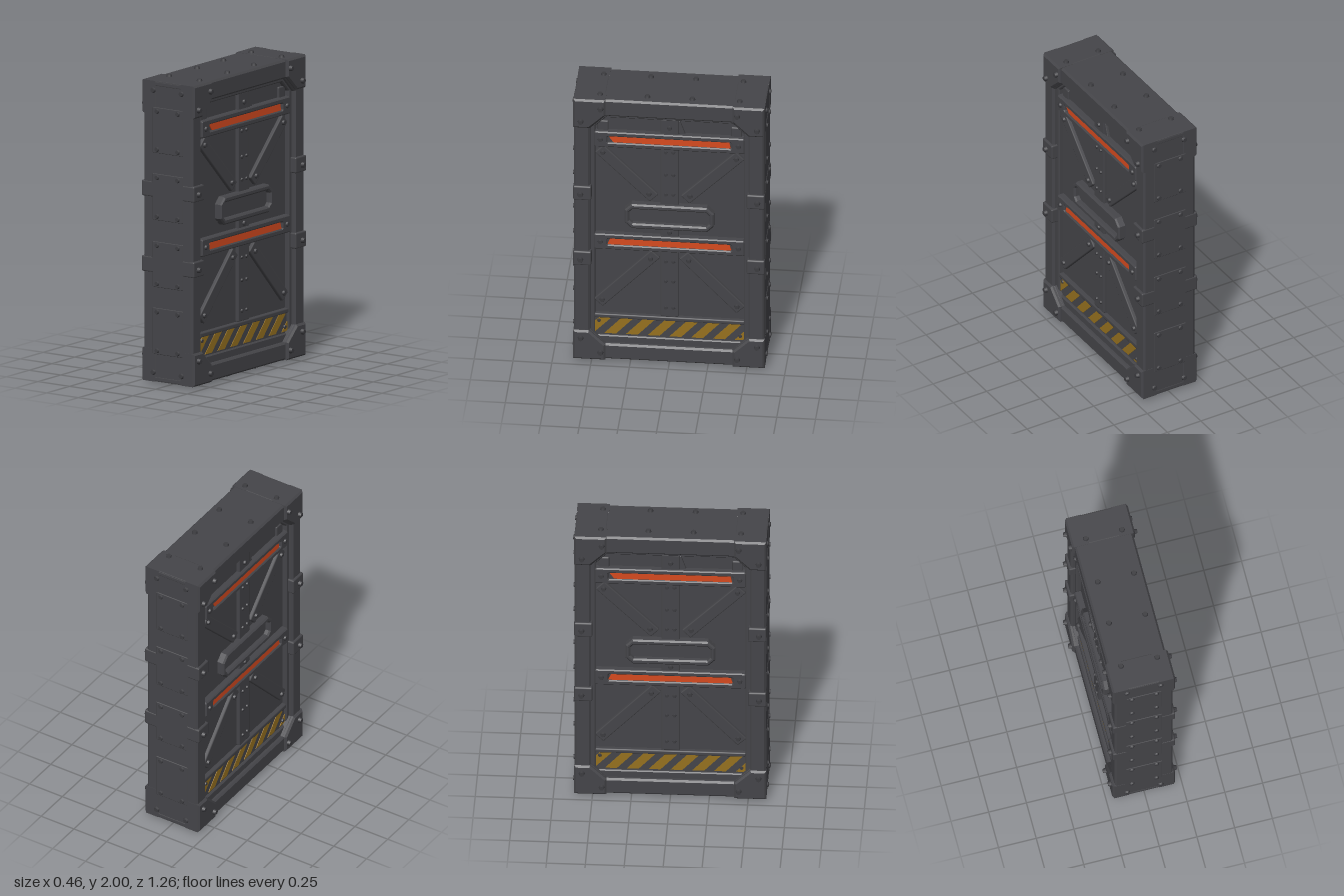
import * as THREE from 'three';
import { RoundedBoxGeometry } from 'three/addons/geometries/RoundedBoxGeometry.js';

const material = (name, color) => Object.assign(new THREE.MeshStandardMaterial({ color }), { name });

export function createModel() {
  const steel = material('dark steel', 0x454549);
  const boltSteel = material('bolt steel', 0x3c3c40);
  const orange = material('orange light', 0xd64a1f);
  const yellow = material('hazard yellow', 0x96711f);
  const root = new THREE.Group();
  root.name = 'armouredDoor';

  const add = (parent, name, geometry, mat = steel) => {
    const mesh = new THREE.Mesh(geometry, mat);
    mesh.name = name;
    parent.add(mesh);
    return mesh;
  };
  const box = (parent, name, x0, x1, y0, y1, z0, z1, r = 0.008) => {
    const mesh = add(parent, name, new RoundedBoxGeometry(x1 - x0, y1 - y0, z1 - z0, 1, r));
    mesh.position.set((x0 + x1) / 2, (y0 + y1) / 2, (z0 + z1) / 2);
    return mesh;
  };
  // Rectangle with cut corners: c for the upper pair, cb for the lower pair
  const octagon = (x0, x1, y0, y1, c, cb = c) => {
    const pts = [[x0 + cb, y0], [x1 - cb, y0]];
    if (cb) pts.push([x1, y0 + cb]);
    pts.push([x1, y1 - c], [x1 - c, y1], [x0 + c, y1], [x0, y1 - c]);
    if (cb) pts.push([x0, y0 + cb]);
    return pts;
  };
  const vectors = (pts) => pts.map(([x, y]) => new THREE.Vector2(x, y));
  // Plate with an optional hole, lying between depths z0 and z1
  const plate = (parent, name, outer, hole, z0, z1, mat = steel, bevel = 0.007) => {
    const shape = new THREE.Shape(vectors(outer));
    if (hole) shape.holes.push(new THREE.Path(vectors(hole)));
    const g = new THREE.ExtrudeGeometry(shape, {
      depth: z1 - z0 - 2 * bevel, bevelEnabled: bevel > 0, bevelThickness: bevel,
      bevelSize: bevel, bevelOffset: -bevel, bevelSegments: 1,
    });
    return add(parent, name, g.translate(0, 0, z0 + bevel), mat);
  };
  const boltShape = new THREE.CylinderGeometry(0.75, 1, 1, 8).rotateX(Math.PI / 2);
  // Bolt head pointing along the parent's z axis
  const bolt = (parent, x, y, z, r = 0.02, h = 0.022) => {
    const mesh = add(parent, 'bolt', boltShape, boltSteel);
    mesh.scale.set(r, r, h);
    mesh.position.set(x, y, z + h / 2 - 0.002);
  };

  // Outer frame, open right through, and the core slab that fills it
  const frame = plate(root, 'outerFrame',
    [[-0.615, 0.016], [0.615, 0.016], [0.615, 1.984], [-0.615, 1.984]],
    octagon(-0.51, 0.51, 0.13, 1.86, 0.1), -0.192, 0.192, steel, 0.012);
  frame.rotation.y = Math.PI / 2;
  box(root, 'coreSlab', -0.135, 0.135, 0.1, 1.9, -0.55, 0.55);

  // The two identical door faces
  for (const side of [1, -1]) {
    const face = new THREE.Group();
    face.name = side > 0 ? 'leftDoorFace' : 'rightDoorFace';
    face.rotation.y = side * Math.PI / 2;
    root.add(face);

    // Inner ledge
    plate(face, 'innerLedge', octagon(-0.54, 0.54, 0.1, 1.89, 0.09),
      octagon(-0.48, 0.48, 0.18, 1.835, 0.07, 0), 0.12, 0.165);

    for (const s of [1, -1]) {
      // Corner plates
      for (const top of [true, false]) {
        const Y = (y) => (top ? y : 2 - y);
        const pts = [[0.617, 1.986], [0.41, 1.986], [0.41, 1.87], [0.515, 1.77], [0.617, 1.77]]
          .map(([x, y]) => [s * x, Y(y)]);
        plate(face, 'cornerPlate', pts, null, 0.09, 0.208, steel, 0.012);
        bolt(face, s * 0.44, Y(1.925), 0.208);
        bolt(face, s * 0.568, Y(1.823), 0.208);
      }
      // Side clamps
      for (const y of [1.275, 0.78]) {
        box(face, 'sideClamp', Math.min(s * 0.5, s * 0.618), Math.max(s * 0.5, s * 0.618),
          y - 0.052, y + 0.052, 0.1, 0.208, 0.01);
        bolt(face, s * 0.57, y - 0.005, 0.208);
      }
      // Diagonal braces
      for (const [x0, y0, x1, y1] of [[0.1, 1.235, 0.455, 1.59], [0.09, 0.81, 0.46, 0.42]]) {
        const length = Math.hypot(x1 - x0, y1 - y0);
        const brace = box(face, 'diagonalBrace', -length / 2, length / 2, -0.04, 0.04, 0.12, 0.158);
        brace.position.set(s * (x0 + x1) / 2, (y0 + y1) / 2, 0.139);
        brace.rotation.z = s * Math.atan2(y1 - y0, x1 - x0);
        for (const t of [0.09, 0.93]) {
          bolt(face, s * (x0 + (x1 - x0) * t), y0 + (y1 - y0) * t, 0.158, 0.018, 0.016);
        }
      }
      // Ribs above the top bar
      box(face, 'topRib', s * 0.43 - 0.035, s * 0.43 + 0.035, 1.72, 1.8, 0.12, 0.15);
    }

    // Central pillar in sections
    for (const [y0, y1] of [[1.71, 1.84], [1.18, 1.64], [0.94, 1.02], [0.34, 0.86]]) {
      box(face, 'centralPillar', -0.06, 0.06, y0, y1, 0.12, 0.158);
    }
    plate(face, 'topGusset', [[0.05, 1.73], [0.1, 1.73], [0.065, 1.83], [0.05, 1.83]], null, 0.12, 0.152, steel, 0.004);
    for (const y of [1.59, 1.42, 1.27, 0.76, 0.61, 0.41]) {
      for (const x of [-0.025, 0.025]) bolt(face, x, y, 0.158, 0.013, 0.012);
    }
    for (const y of [1.775, 0.98]) bolt(face, 0, y, 0.158, 0.018, 0.014);

    // Crossbars with inset light strips
    for (const [y, slant] of [[1.675, 0.04], [0.898, 0.02]]) {
      const upper = slant > 0.03;
      plate(face, 'crossbar', octagon(-0.485, 0.485, y - 0.057, y + 0.057, 0.008),
        octagon(-0.4, 0.4, y - 0.023, y + 0.023, 0.006), 0.12, 0.178);
      const strip = upper
        ? [[-0.36, y - 0.024], [0.395, y - 0.024], [0.385, y + 0.024], [-0.395, y + 0.024]]
        : [[-0.4, y - 0.024], [0.4, y - 0.024], [0.385, y + 0.024], [-0.38, y + 0.024]];
      plate(face, 'lightStrip', strip, null, 0.158, 0.167, orange, 0);
      box(face, 'lightBacking', -0.42, 0.42, y - 0.035, y + 0.035, 0.12, 0.159, 0.004);
      for (const x of [-0.445, 0.445]) bolt(face, x, y, 0.178, 0.018, 0.014);
    }

    // Central grip surround
    plate(face, 'gripSurround', octagon(-0.288, 0.288, 1.012, 1.195, 0.045),
      octagon(-0.258, 0.258, 1.05, 1.158, 0.022), 0.12, 0.185, steel, 0.01);
    box(face, 'gripPanel', -0.27, 0.27, 1.03, 1.175, 0.12, 0.15);

    // Hazard panel with slanted stripes
    box(face, 'hazardRail', -0.485, 0.485, 0.31, 0.34, 0.12, 0.165);
    box(face, 'hazardPanel', -0.485, 0.485, 0.17, 0.315, 0.12, 0.15);
    const stripes = [
      [[-0.48, 0.2], [-0.375, 0.31], [-0.45, 0.31], [-0.48, 0.28]],
      [[0.42, 0.19], [0.48, 0.19], [0.48, 0.255]],
    ];
    for (let k = 0; k < 6; k++) {
      const x = -0.42 + 0.14 * k;
      stripes.push([[x, 0.19], [x + 0.075, 0.19], [x + 0.185, 0.31], [x + 0.11, 0.31]]);
    }
    for (const pts of stripes) plate(face, 'hazardStripe', pts, null, 0.148, 0.154, yellow, 0);
    for (const x of [-0.455, 0.455]) bolt(face, x, x < 0 ? 0.285 : 0.22, 0.153, 0.014, 0.01);
  }

  // Narrow front and back edges: shallow panels and bolt rows
  for (const back of [false, true]) {
    const edge = new THREE.Group();
    edge.name = back ? 'backEdge' : 'frontEdge';
    edge.rotation.y = back ? Math.PI : 0;
    root.add(edge);
    for (const [y0, y1] of [[1.54, 1.79], [1.1, 1.355], [0.66, 0.91], [0.22, 0.475]]) {
      box(edge, 'edgePanel', -0.12, 0.12, y0 - 0.025, y1 + 0.025, 0.6, 0.619, 0.005);
      for (const y of [y0, y1]) {
        for (const x of [-0.083, 0.08]) bolt(edge, x, y, 0.619, 0.018, 0.012);
      }
    }
    for (const y of [1.925, 0.075]) {
      for (const x of [-0.115, 0.108]) bolt(edge, x, y, 0.617, 0.02, 0.013);
    }
  }

  // Top and bottom caps: bolts
  for (const top of [true, false]) {
    const cap = new THREE.Group();
    cap.name = top ? 'topCap' : 'bottomCap';
    cap.position.y = 1;
    cap.rotation.x = top ? -Math.PI / 2 : Math.PI / 2;
    root.add(cap);
    // Covers between the corner plates of both faces
    for (const s of [1, -1]) {
      box(cap, 'capCover', -0.2, 0.2, s * 0.514 - 0.103, s * 0.514 + 0.103, 0.95, 0.986, 0.01);
    }
    for (const z of [-0.45, -0.145, 0.145, 0.45]) {
      for (const x of [-0.11, 0.13]) bolt(cap, x, z, 0.984, 0.02, 0.018);
    }
  }
  return root;
}
